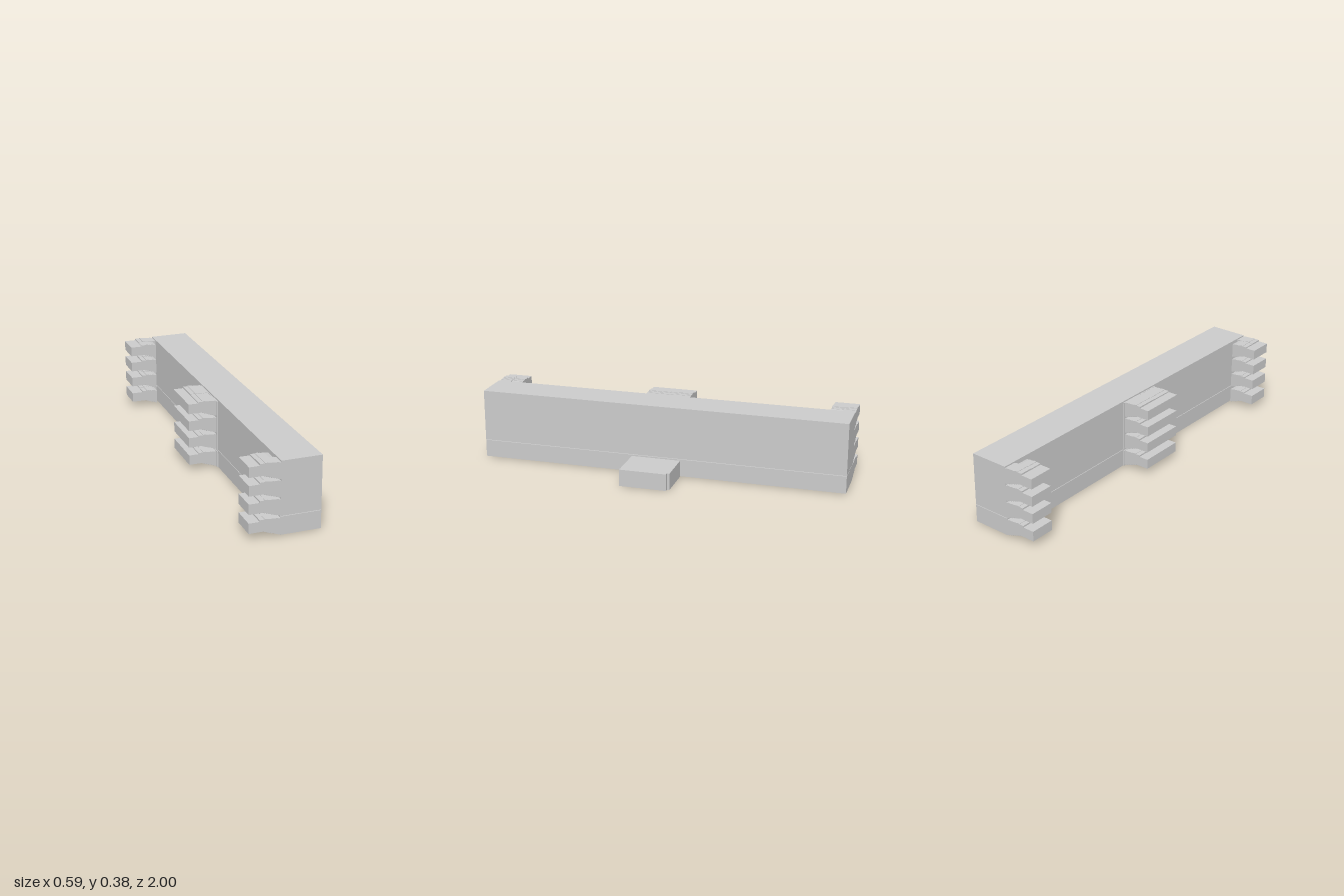
import * as THREE from 'three';

const material = new THREE.MeshStandardMaterial({ color: 0xcccccc, flatShading: true });

// Box given by its limits on each axis
function block(name, x0, x1, y0, y1, z0, z1) {
  const mesh = new THREE.Mesh(new THREE.BoxGeometry(x1 - x0, y1 - y0, z1 - z0), material);
  mesh.position.set((x0 + x1) / 2, (y0 + y1) / 2, (z0 + z1) / 2);
  mesh.name = name;
  return mesh;
}

// Side profile of a finger: stepped ridge above, stepped ramp below
function fingerShape(tip, root, drop) {
  const pts = [];
  const ridge = [
    [-0.13, 0.09], [-0.14, 0.093], [-0.165, 0.0945], [-0.185, 0.096],
    [-0.195, 0.098], [-0.21, 0.096], [-0.235, 0.094], [tip, 0.088],
  ];
  let height = ridge[0][1];
  ridge.forEach(([x, y], i) => {
    const px = Math.min(x, root);
    if (i === 0) { pts.push([px, y - drop]); return; }
    if (x >= root) { height = y; return; }
    if (i === ridge.length - 1) { pts.push([-0.235, y], [x, y]); return; }
    pts.push([px, height - drop], [px, y - drop]);
    height = y;
  });
  pts.push([tip, 0.035], [-0.225, 0.035]);
  const steps = 8;
  for (let i = 0; i < steps; i++) {
    const x = -0.225 + 0.095 * (i + 1) / steps;
    const y0 = 0.035 - 0.032 * i / steps;
    const y1 = 0.035 - 0.032 * (i + 1) / steps;
    if (x > root + 1e-6) { pts.push([root, y0]); break; }
    pts.push([x, y0], [x, y1]);
  }
  return new THREE.Shape(pts.map(([x, y]) => new THREE.Vector2(x, y)));
}

function fingerPart(name, tip, root, drop, z0, z1) {
  const geometry = new THREE.ExtrudeGeometry(fingerShape(tip, root, drop), {
    depth: z1 - z0, bevelEnabled: false,
  });
  const mesh = new THREE.Mesh(geometry, material);
  mesh.position.z = z0;
  mesh.name = name;
  return mesh;
}

export function createModel() {
  const model = new THREE.Group();
  model.name = 'slottedBar';

  // Long bar in two layers with a fine seam
  model.add(block('lowerBar', -0.13, 0.077, 0.003, 0.097, -1, 1));
  model.add(block('upperBar', -0.13, 0.077, 0.1, 0.38, -1, 1));

  // Tab on the left side, with a slightly narrower end
  model.add(block('tab', 0.077, 0.279, 0, 0.09, -0.115, 0.153));
  model.add(block('tabEnd', 0.279, 0.297, 0, 0.091, -0.102, 0.153));

  // Thin strips where the middle fingers meet the bar
  model.add(block('middleLowerStrip', -0.136, -0.13, 0.003, 0.092, -0.113, 0.15));
  model.add(block('middleUpperStrip', -0.136, -0.13, 0.1, 0.372, -0.113, 0.15));

  // Four levels of fingers: a hooked one at each end and a wide one in the middle
  [0, 0.097, 0.19, 0.283].forEach((y, level) => {
    const row = new THREE.Group();
    row.name = 'fingerRow' + (level + 1);
    row.position.y = y;
    row.add(
      fingerPart('backFingerRoot', -0.297, -0.13, 0, -1, -0.933),
      fingerPart('backFingerHook', -0.297, -0.148, 0.002, -0.933, -0.868),
      fingerPart('middleFingerBack', -0.287, -0.13, 0, -0.107, 0.015),
      fingerPart('middleFingerFront', -0.287, -0.13, 0.002, 0.015, 0.14),
      fingerPart('frontFingerRoot', -0.29, -0.13, 0, 0.935, 1),
      fingerPart('frontFingerHook', -0.29, -0.143, 0.002, 0.87, 0.935),
    );
    model.add(row);
  });

  return model;
}
